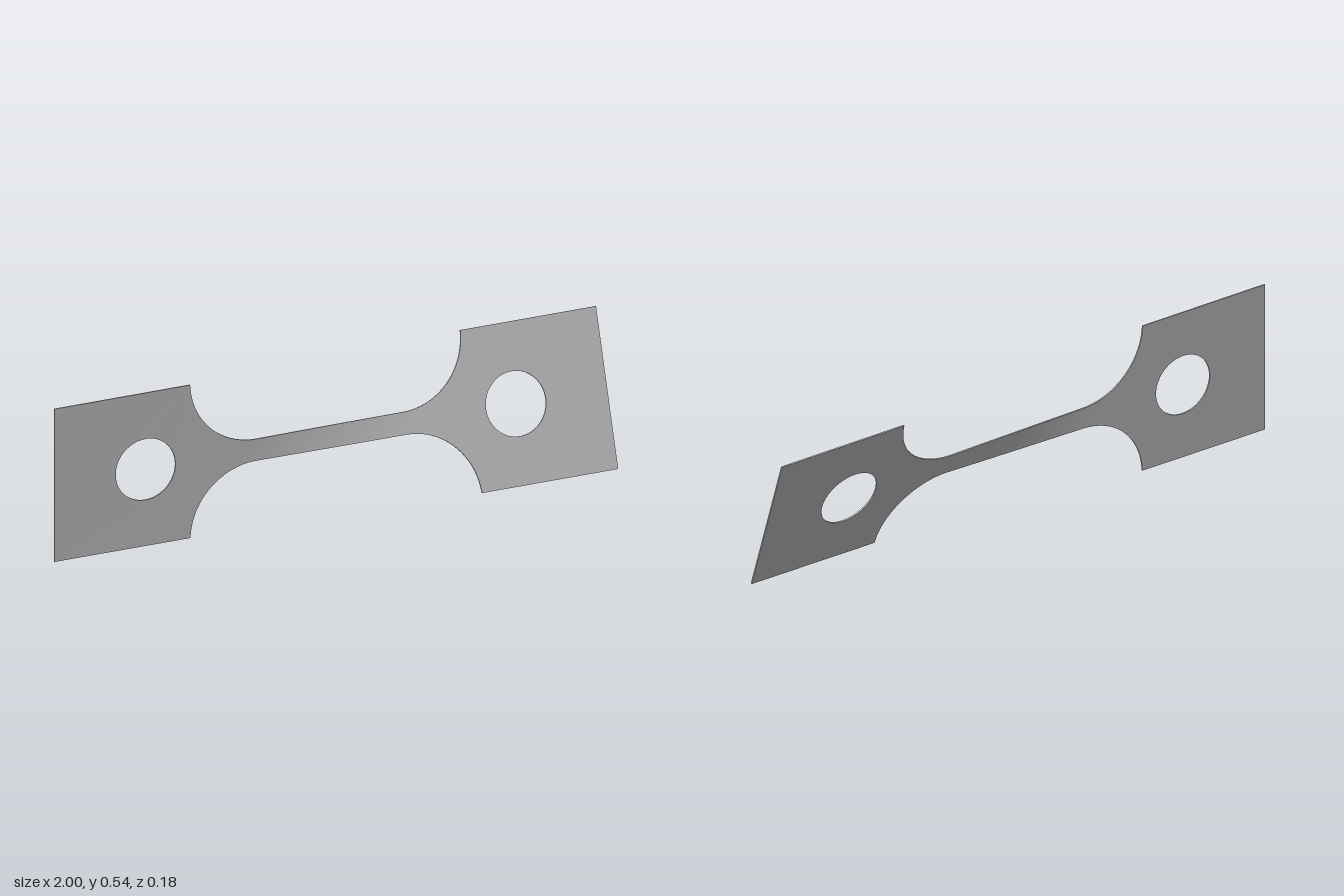
import * as THREE from 'three';

const HALF = 0.271, NECK = 0.038, HEAD_X = 0.508, THICK = 0.005;
const FILLET_X = 0.268, FILLET_R = 0.24;
const { clamp, degToRad } = THREE.MathUtils;

// Half height of the waisted middle: a straight bar opening in quarter-round fillets
function halfHeight(x) {
  const d = Math.abs(x) - FILLET_X;
  if (d <= 0) return NECK;
  if (HEAD_X - Math.abs(x) < 1e-6) return HALF;
  return Math.min(HALF, NECK + FILLET_R - Math.sqrt(Math.max(0, FILLET_R ** 2 - d * d)));
}

// Twist in degrees: nearly all of it happens along the narrow bar
function twistAngle(x) {
  const bar = clamp((x + 0.3) / 0.6, 0, 1);
  return degToRad(0.5 + 17.6 * bar + 0.5 * x);
}

// Turn every vertex about the long axis and lift the plate onto the ground
function twist(geometry) {
  const p = geometry.attributes.position;
  for (let i = 0; i < p.count; i++) {
    const x = p.getX(i), y = p.getY(i), z = p.getZ(i), a = -twistAngle(x);
    p.setXYZ(i, x, HALF + y * Math.cos(a) - z * Math.sin(a), y * Math.sin(a) + z * Math.cos(a));
  }
  geometry.computeVertexNormals();
  return geometry;
}

export function createModel() {
  const group = new THREE.Group();
  group.name = 'twistedTensileSpecimen';
  const steel = new THREE.MeshStandardMaterial({ color: 0xbebebe });
  steel.name = 'grey steel';

  const add = (name, geometry) => {
    const mesh = new THREE.Mesh(twist(geometry), steel);
    mesh.name = name;
    group.add(mesh);
  };

  // Gauge bar with its fillets; columns crowd towards the steep fillet ends
  const neck = new THREE.BoxGeometry(2, 2, THICK, 96, 4, 1);
  const p = neck.attributes.position;
  for (let i = 0; i < p.count; i++) {
    const x = HEAD_X * Math.sin(p.getX(i) * Math.PI / 2);
    p.setXY(i, x, p.getY(i) * halfHeight(x));
  }
  add('gaugeBar', neck);

  // Square grip heads, each with a round pin hole
  for (const [name, side] of [['leftGrip', 1], ['rightGrip', -1]]) {
    const a = Math.min(side, side * HEAD_X), b = Math.max(side, side * HEAD_X);
    const shape = new THREE.Shape();
    shape.moveTo(a, -HALF).lineTo(b, -HALF).lineTo(b, HALF).lineTo(a, HALF).closePath();
    shape.holes.push(new THREE.Path().absarc(side * 0.67, 0, 0.108, 0, Math.PI * 2, true));
    const grip = new THREE.ExtrudeGeometry(shape, { depth: THICK, bevelEnabled: false, curveSegments: 48 });
    add(name, grip.translate(0, 0, -THICK / 2));
  }
  return group;
}
